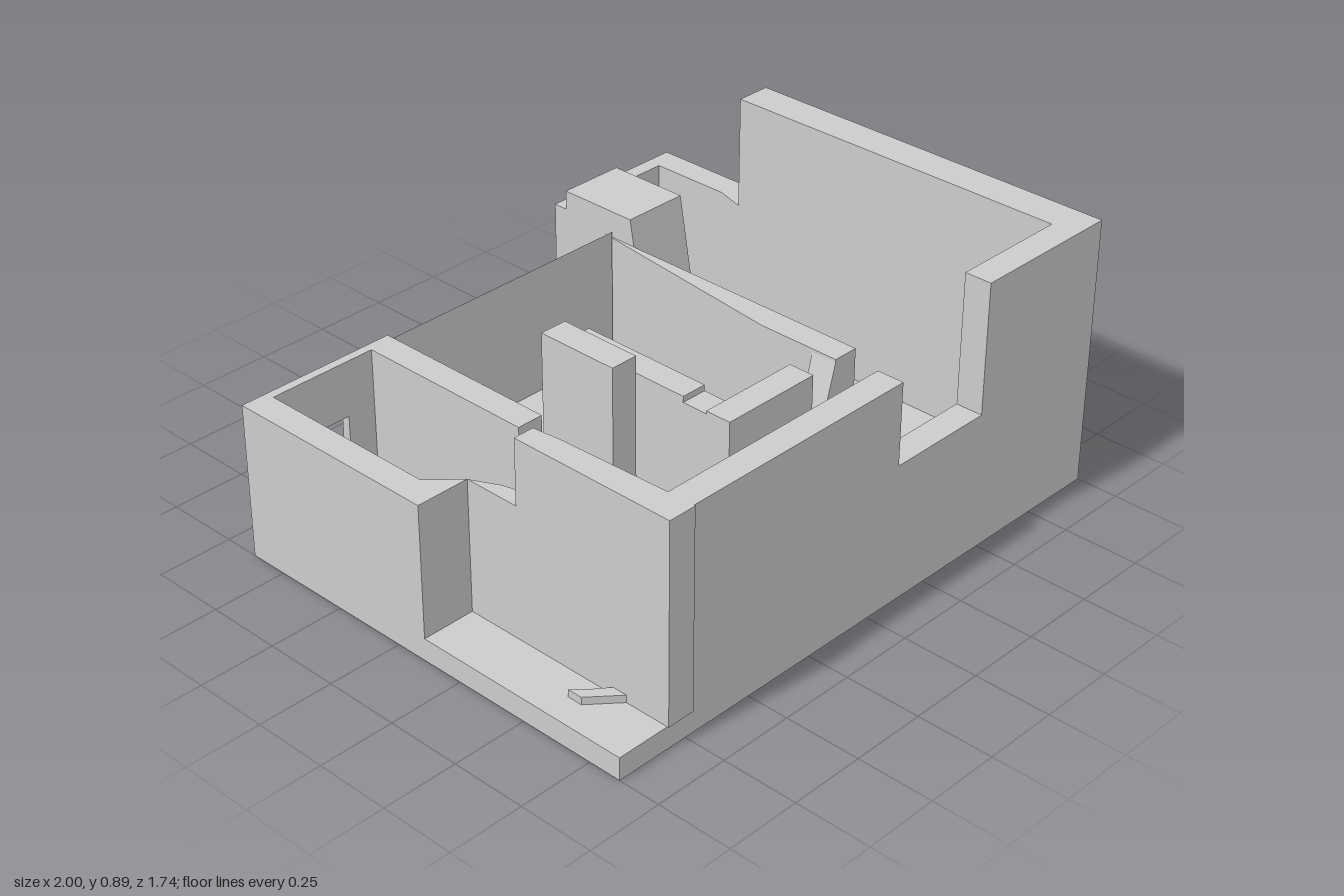
import * as THREE from 'three';

export function createModel() {
  const model = new THREE.Group();
  const material = new THREE.MeshStandardMaterial({ color: 0xcccccc, flatShading: true });

  function add(name, geometry, mat = material) {
    const mesh = new THREE.Mesh(geometry, mat);
    mesh.name = name;
    model.add(mesh);
    return mesh;
  }
  // Box given by its limits on each axis
  function block(name, x0, x1, y0, y1, z0, z1) {
    const g = new THREE.BoxGeometry(x1 - x0, y1 - y0, z1 - z0);
    add(name, g.translate((x0 + x1) / 2, (y0 + y1) / 2, (z0 + z1) / 2));
  }
  const toShape = (pts) => new THREE.Shape(pts.map(([a, b]) => new THREE.Vector2(a, b)));
  const extrude = (shape, depth) => new THREE.ExtrudeGeometry(shape, { depth, bevelEnabled: false });
  // Upright prism on a ground plan of [x, z] points
  function prism(name, plan, y0, y1) {
    const g = extrude(toShape(plan.map(([x, z]) => [x, -z])), y1 - y0);
    add(name, g.rotateX(-Math.PI / 2).translate(0, y0, 0));
  }
  // Wall facing the front, drawn as [x, y] points
  function facade(name, outline, z0, z1, hole) {
    const shape = toShape(outline);
    if (hole) shape.holes.push(new THREE.Path(hole.map(([x, y]) => new THREE.Vector2(x, y))));
    add(name, extrude(shape, z1 - z0).translate(0, 0, z0));
  }

  const floor = 0.075, low = 0.515, inner = 0.49;

  // Floor slab with the rear extension and a small nib beside it
  prism('floorSlab', [[-1, 0.86], [1, 0.86], [1, -0.87], [0.48, -0.87], [0.48, -0.66],
    [0.39, -0.66], [0.39, -0.63], [-1, -0.63]], 0, floor);

  // Front wall with a window recess, and the tall side wall
  facade('frontWall', [[-0.82, floor], [1, floor], [1, 0.89], [0.48, 0.89], [0.48, 0.46],
    [0.11, 0.46], [0.11, 0.73], [-0.82, 0.73]], 0.77, 0.86);
  block('tallSideWall', 0.88, 1, floor, 0.89, -0.44, 0.77);

  // Low walls of the rear extension
  prism('extensionSideWall', [[1, -0.44], [1, -0.87], [0.91, -0.87], [0.91, -0.54], [0.88, -0.44]], floor, low);
  block('extensionRearWall', 0.48, 0.91, floor, low, -0.87, -0.82);

  // Stove block with a steep sloping front
  const stove = extrude(toShape([[0.82, floor], [0.82, 0.58], [0.535, 0.58], [0.445, floor]]), 0.23);
  add('stoveBlock', stove.rotateY(Math.PI / 2).translate(0.48, 0, 0));

  // Rear wall: pierced thick end and thin infill panel
  facade('rearWindowWall', [[-1, floor], [-0.45, floor], [-0.45, low], [-1, low]], -0.63, -0.6,
    [[-0.83, 0.09], [-0.83, 0.33], [-0.64, 0.33], [-0.64, 0.09]]);
  const thin = material.clone();
  thin.side = THREE.DoubleSide;
  add('rearPanel', new THREE.PlaneGeometry(0.92, low - floor)
    .translate(0.01, (low + floor) / 2, -0.605), thin);

  // Low side wall, curved return and tall curved wall
  prism('lowSideWall', [[-1, -0.6], [-1, 0.11], [-0.82, 0.11], [-0.91, 0.02], [-0.91, -0.6]], floor, low);
  prism('curvedReturn', [[-0.82, 0.11], [-0.82, 0.3], [-0.75, 0.3], [-0.775, 0.2]], floor, low);
  prism('curvedTallWall', [[-0.82, 0.3], [-0.82, 0.865], [-0.725, 0.865], [-0.725, 0.8],
    [-0.74, 0.4], [-0.75, 0.3]], floor, 0.73);

  // Long partition with a low sill and a tall pier
  block('longPartition', -0.54, -0.45, floor, low, -0.6, 0.02);
  block('partitionSill', -0.54, -0.45, floor, 0.3, 0.02, 0.12);
  block('partitionPier', -0.54, -0.45, floor, 0.86, 0.12, 0.39);

  // Inner room: short partition, notched cross wall and wedge-shaped wall
  block('shortPartition', -0.07, 0.02, floor, inner, -0.26, 0.21);
  block('shortPartitionEnd', -0.07, 0.02, floor, 0.47, 0.21, 0.3);
  facade('crossWall', [[-0.07, floor], [0.39, floor], [0.39, 0.48], [0.29, 0.12],
    [0.29, 0.48], [-0.07, 0.48]], 0.3, 0.39);
  prism('wedgeWall', [[0.48, -0.65], [0.39, 0.1], [0.39, 0.39], [0.48, 0.39]], floor, inner);

  // Small shard lying on the side terrace
  prism('terraceShard', [[-0.91, 0.58], [-0.91, 0.63], [-0.82, 0.71], [-0.82, 0.66], [-0.87, 0.62]], floor, 0.1);

  return model;
}
